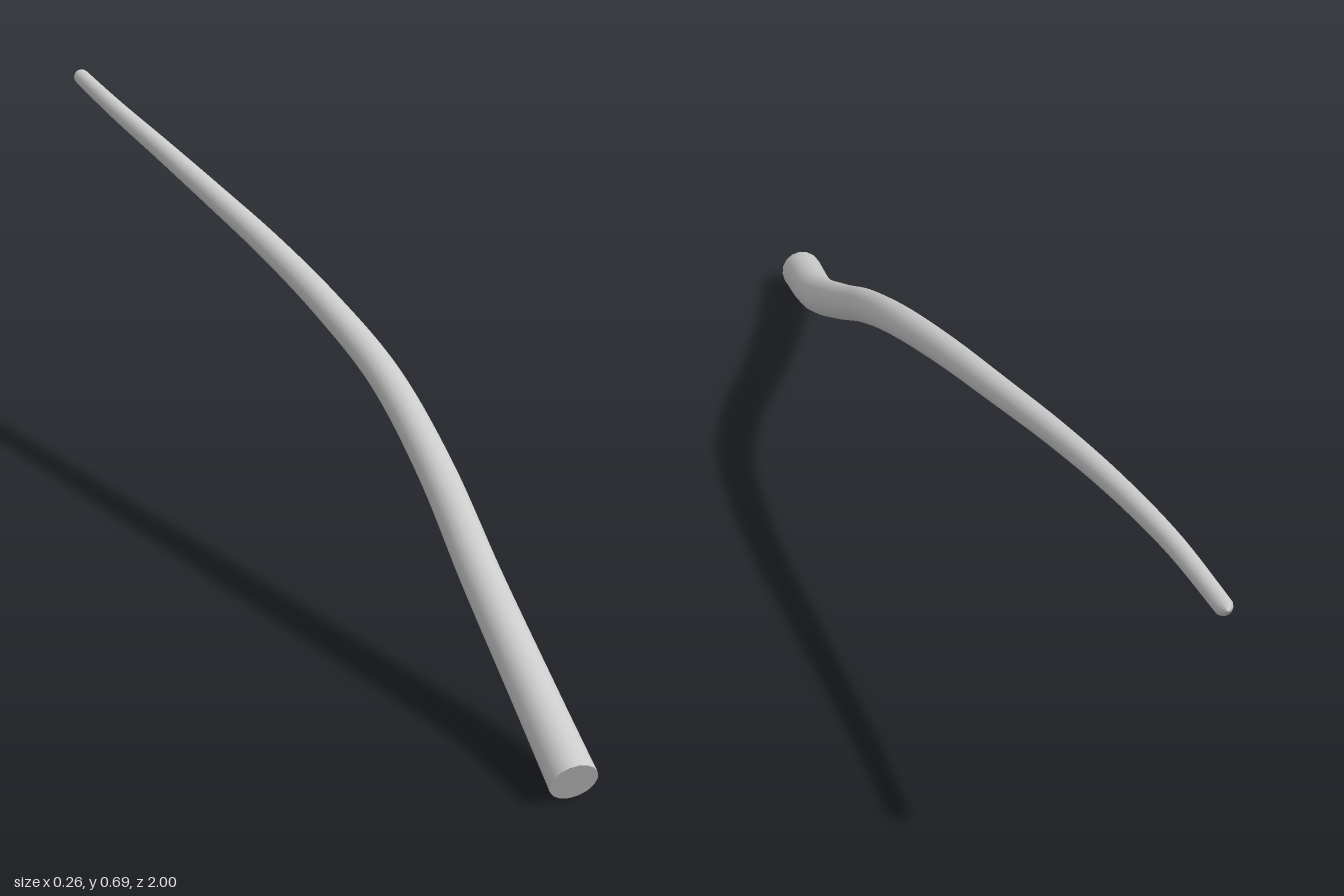
import * as THREE from 'three';

const SEGMENTS = 96;
const SIDES = 16;

export function createModel() {
  const group = new THREE.Group();
  group.name = 'curvedRod';
  const material = new THREE.MeshStandardMaterial({ color: 0xcccccc });

  // Centre line, from the thick front end to the thin tip
  const path = new THREE.CatmullRomCurve3([
    [0.073, 0.044, 0.988], [0.086, 0.115, 0.8], [0.084, 0.228, 0.6], [0.082, 0.352, 0.4],
    [0.07, 0.45, 0.2], [0.04, 0.515, 0], [0.005, 0.564, -0.2], [-0.035, 0.605, -0.4],
    [-0.071, 0.639, -0.6], [-0.1, 0.664, -0.8], [-0.116, 0.681, -1],
  ].map((p) => new THREE.Vector3(...p)));

  // Taper with a rounded tip
  const length = path.getLength();
  const tipRadius = 0.016;
  const radiusAt = (t) => {
    const r = THREE.MathUtils.lerp(0.043, tipRadius, Math.pow(t, 0.9));
    const toEnd = ((1 - t) * length) / tipRadius;
    return toEnd < 1 ? r * Math.sqrt(Math.max(0, 1 - (1 - toEnd) ** 2)) : r;
  };

  // Rings along the path, packed closer together at the tip
  const stops = [];
  const tipStart = 1 - tipRadius / length;
  for (let i = 0; i <= SEGMENTS; i++) stops.push((i / SEGMENTS) * tipStart);
  for (let i = 1; i <= 6; i++) stops.push(tipStart + (1 - tipStart) * Math.sin((i / 6) * Math.PI / 2));

  // Sweep a unit tube whose rings follow the stops, then scale each ring
  const sweep = new THREE.Curve();
  const last = stops.length - 1;
  sweep.getPointAt = (u) => path.getPointAt(stops[Math.round(u * last)]);
  sweep.getTangentAt = (u) => path.getTangentAt(stops[Math.round(u * last)]);
  const geometry = new THREE.TubeGeometry(sweep, last, 1, SIDES, false);
  const pos = geometry.attributes.position;
  const v = new THREE.Vector3();
  for (let i = 0; i < pos.count; i++) {
    const t = stops[Math.floor(i / (SIDES + 1))];
    const centre = path.getPointAt(t);
    v.fromBufferAttribute(pos, i).sub(centre).multiplyScalar(radiusAt(t)).add(centre);
    pos.setXYZ(i, v.x, v.y, v.z);
  }
  const rod = new THREE.Mesh(geometry, material);
  rod.name = 'rod';
  group.add(rod);

  // Flat disc closing the thick end
  const cap = new THREE.Mesh(new THREE.CircleGeometry(radiusAt(0), SIDES), material);
  cap.name = 'endCap';
  cap.position.copy(path.getPointAt(0));
  cap.quaternion.setFromUnitVectors(new THREE.Vector3(0, 0, 1), path.getTangentAt(0).negate());
  group.add(cap);

  return group;
}
